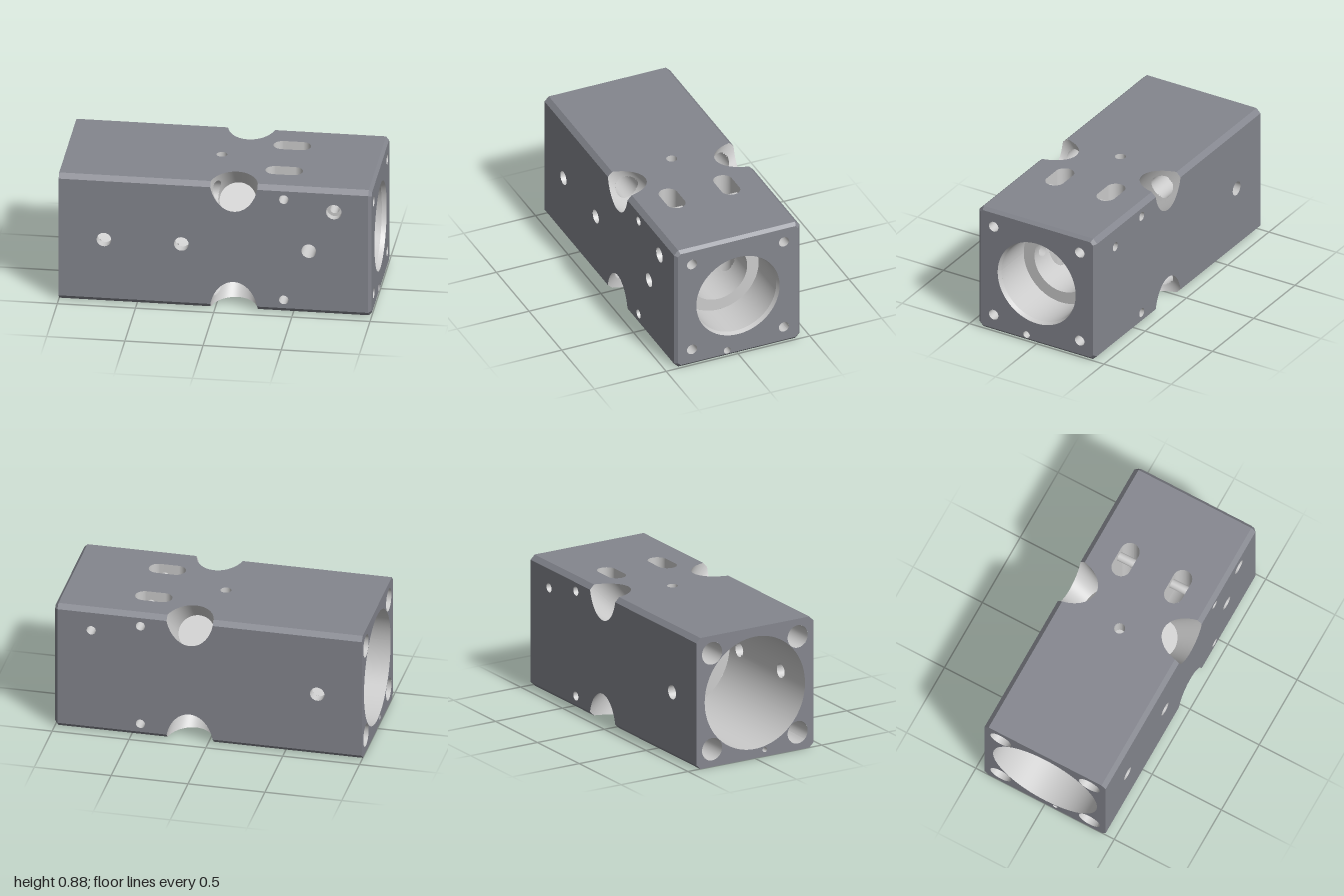
import * as THREE from 'three';

const H = 0.4375, Q = 0.4075, END = 0.98;      // half size, half flat width, start of end bevel
const D = (H + Q) / Math.SQRT2;                // axis to bevelled long edge
const NX = 0.12, FLOOR = 0.34;                 // notch position and floor distance
const BOLT = 0.4525, BOLT_R = 0.075;           // corner bolt bores
const { PI, sin, cos, sqrt, abs, min, max, hypot } = Math;

const shell = new THREE.MeshStandardMaterial({ color: 0x84868e });
const inner = new THREE.MeshStandardMaterial({ color: 0xcccccc, side: THREE.DoubleSide });

// Bores along x: [start, end, radius]
const bores = [[-1, -0.1, 0.375], [-0.1, 0.7, 0.2], [0.7, 0.97, 0.28]];
const boreRadius = x => (bores.find(b => x < b[1]) || bores[2])[2];

// Holes of each long side (front, top, back, bottom): x, s across, r, half straight length
const cross = [{ x: -0.71, s: 0, r: 0.047 }, { x: 0.44, s: 0.35, r: 0.03 }, { x: 0.44, s: -0.35, r: 0.03 }];
const slots = [
  { x: 0.41, s: 0.19, r: 0.062, l: 0.058 }, { x: 0.41, s: -0.19, r: 0.062, l: 0.058 },
  { x: -0.015, s: 0, r: 0.035, blind: 0.12 },
];
const sides = [
  [...cross, { x: -0.215, s: 0, r: 0.047 }, { x: 0.6, s: 0, r: 0.047 }, { x: 0.76, s: 0.2825, r: 0.03, head: 0.05 }],
  slots,
  [...cross, { x: 0.76, s: -0.2825, r: 0.03 }],
  slots,
];

function add(parent, name, geometry, material) {
  const mesh = new THREE.Mesh(geometry, material);
  mesh.name = name;
  parent.add(mesh);
  return mesh;
}

// Grid surface; fn returns [x, y, z, cut], triangles with all corners cut are left out
function skin(nu, nv, fn, flat = false) {
  const pos = [], cut = [], index = [];
  for (let j = 0; j <= nv; j++) for (let i = 0; i <= nu; i++) {
    const p = fn(i / nu, j / nv);
    pos.push(p[0], p[1], p[2]);
    cut.push(p[3]);
  }
  const tri = (...t) => { if (!t.every(i => cut[i])) index.push(...t); };
  for (let j = 0; j < nv; j++) for (let i = 0; i < nu; i++) {
    const a = j * (nu + 1) + i, b = a + nu + 1;
    tri(a, a + 1, b + 1);
    tri(a, b + 1, b);
  }
  let g = new THREE.BufferGeometry();
  g.setAttribute('position', new THREE.Float32BufferAttribute(pos, 3));
  g.setIndex(index);
  if (flat) g = g.toNonIndexed();
  g.computeVertexNormals();
  return g;
}

// Moves a 2D offset onto a radius when close to it, and tells whether it is inside
function snap(a, b, r, step) {
  const d = hypot(a, b), k = abs(d - r) < step && d > 0 ? r / d : 1;
  return [a * k, b * k, d * k <= r + 1e-5];
}

// Outline of a round or slotted hole
const outline = (h, r, u) => {
  const c = cos(u * 2 * PI);
  return [h.x + c * r + Math.sign(c) * (h.l || 0), h.s + sin(u * 2 * PI) * r];
};
const holePath = (h, r) => new THREE.Path(
  Array.from({ length: 40 }, (_, i) => new THREE.Vector2(...outline(h, r, (i + 0.5) / 40))));

// Tapered edge notch: radius by distance, and where its wall leaves the block
const taper = d => 0.0692 + 0.138 * d;
const rim = a => min(D, (H * Math.SQRT2 - 0.0692 * abs(sin(a))) / (1 + 0.138 * abs(sin(a))));
const A0 = Math.asin((H - Q) / Math.SQRT2 / taper(D));
const rimPoint = a => {
  const d = rim(a), r = taper(d);
  return [NX + r * cos(a), (d - r * sin(a)) / Math.SQRT2];
};

function sidePanel(holes) {
  const pts = [[-1, -Q]];
  for (let i = 0; i <= 32; i++) {
    const [x, s] = rimPoint(PI - A0 - (i / 32) * (PI - 2 * A0));
    pts.push([x, -s]);
  }
  pts.push([END, -Q], [END, Q]);
  for (let i = 0; i <= 32; i++) pts.push(rimPoint(A0 + (i / 32) * (PI - 2 * A0)));
  pts.push([-1, Q]);
  const shape = new THREE.Shape(pts.map(p => new THREE.Vector2(...p)));
  for (const h of holes) shape.holes.push(holePath(h, h.head || h.r));
  return new THREE.ShapeGeometry(shape).translate(0, 0, H);
}

// Wall of a side hole, from the panel down to the bore
function holeWall(h) {
  return skin(40, 1, (u, v) => {
    const [x, s] = outline(h, h.r, u + 0.5 / 40);
    const R = boreRadius(h.x);
    const end = h.blind ? H - h.blind : sqrt(max(0, R * R - s * s));
    return [x, s, v ? end : H - (h.head ? 0.05 : 0)];
  });
}

// Bore wall opened where side holes enter
function boreWall([x0, x1, R]) {
  const nx = Math.ceil((x1 - x0) / 0.014), na = R > 0.3 ? 160 : 112;
  return skin(na, nx, (u, v) => {
    let x = x0 + (x1 - x0) * v, th = u * 2 * PI, cut = false;
    sides.forEach((holes, k) => {
      for (const h of holes) {
        const phi = th - k * PI / 2;
        if (h.blind || cos(phi) < 0) continue;
        const l = h.l || 0, mid = max(-l, min(l, x - h.x));
        const [dx, ds, inside] = snap(x - h.x - mid, R * sin(phi) - h.s, h.r, 0.007);
        if (abs(dx) + abs(ds) > 0.2) continue;
        const nextX = h.x + mid + dx;
        if (nextX >= x0 && nextX <= x1 && v > 0 && v < 1) x = nextX;
        th = k * PI / 2 + Math.asin(max(-1, min(1, (ds + h.s) / R)));
        cut = cut || inside;
      }
    });
    return [x, R * sin(th), R * cos(th), cut];
  });
}

// Tube or ring around an axis parallel to x
const tubeX = (x0, x1, r0, r1 = r0, y = 0, z = 0, n = 28) => skin(n, 1, (u, v) => {
  const r = v ? r1 : r0;
  return [v ? x1 : x0, y + r * sin(u * 2 * PI), z + r * cos(u * 2 * PI)];
});

// Octagonal block section, as [z, y]
function octagon(h, d) {
  const q = d * Math.SQRT2 - h;
  return [[h, -q], [h, q], [q, h], [-q, h], [-h, q], [-h, -q], [-q, -h], [q, -h]];
}

const PIN = { y: -0.3925, z: 0.075 };
function endFace(sign, h, d, bore, bolt, pin) {
  const shape = new THREE.Shape(octagon(h, d).map(([z, y]) => new THREE.Vector2(z, y)));
  const hole = (x, y, r) => shape.holes.push(new THREE.Path().absarc(x, y, r, 0, 2 * PI, true));
  hole(0, 0, bore);
  for (const a of [-0.32, 0.32]) for (const b of [-0.32, 0.32]) hole(a, b, bolt);
  hole(-sign * PIN.z, PIN.y, pin);
  return new THREE.ShapeGeometry(shape, 40).rotateY(sign * PI / 2).translate(sign, 0, 0);
}

export function createModel() {
  const model = new THREE.Group();
  model.name = 'boredBlock';
  const block = new THREE.Group();
  block.name = 'block';
  block.position.y = H;
  model.add(block);

  // Four long sides with their holes
  sides.forEach((holes, k) => {
    const side = new THREE.Group();
    side.name = ['frontSide', 'topSide', 'backSide', 'bottomSide'][k];
    side.rotation.x = -k * PI / 2;
    block.add(side);
    add(side, 'panel', sidePanel(holes), shell);
    for (const h of holes) {
      add(side, h.l ? 'slotWall' : 'holeWall', holeWall(h), inner);
      if (h.blind) add(side, 'holeFloor', new THREE.CircleGeometry(h.r, 32), inner).position.set(h.x, h.s, H - h.blind);
      if (h.head) {
        add(side, 'counterbore', skin(40, 2, (u, v) => {
          const [x, s] = outline(h, v === 1 ? h.r : h.head, u);
          return [x, s, v === 0 ? H : H - 0.05];
        }, true), inner);
      }
    }
  });

  // Four long edges: bevel strips, notch and corner bolt bores
  for (let k = 0; k < 4; k++) {
    const edge = new THREE.Group();
    edge.name = 'longEdge';
    edge.rotation.x = -PI / 4 - k * PI / 2;
    block.add(edge);
    const w = taper(D) * cos(A0);
    for (const [a, b] of [[-1, NX - w], [NX + w, END]]) {
      add(edge, 'edgeBevel', new THREE.PlaneGeometry(b - a, (H - Q) * Math.SQRT2), shell).position.set((a + b) / 2, 0, D);
    }
    add(edge, 'notchWall', skin(96, 20, (u, v) => {
      const a = u * 2 * PI;
      let d = FLOOR + (rim(a) - FLOOR) * v, x = taper(d) * cos(a), t = taper(d) * sin(a), cut = false;
      if (x < 0 && v > 0 && v < 1) {
        const [nt, nd, inside] = snap(t, d - BOLT, BOLT_R, 0.006);
        t = nt;
        d = BOLT + nd;
        x = -sqrt(max(0, taper(d) ** 2 - t * t));
        cut = inside;
      }
      return [NX + x, t, d, cut];
    }), inner);
    add(edge, 'notchFloor', new THREE.CircleGeometry(taper(FLOOR), 48), inner).position.set(NX, 0, FLOOR);
    add(edge, 'boltBore', skin(40, 1, (u, v) => {
      const t = BOLT_R * sin(u * 2 * PI), d = BOLT + BOLT_R * cos(u * 2 * PI);
      return [v ? NX - sqrt(taper(d) ** 2 - t * t) : -1, t, d];
    }), inner);
    add(edge, 'screwHole', tubeX(1, 0.75, 0.035, 0.035, 0, BOLT), inner);
    add(edge, 'screwHoleFloor', tubeX(0.75, 0.75, 0.035, 0, 0, BOLT), inner);
  }

  // End faces and the bevel around the left end
  add(block, 'leftEnd', endFace(1, H - 0.02, D - 0.02, 0.29, 0.035, 0.024), shell);
  add(block, 'rightEnd', endFace(-1, H, D, 0.375, BOLT_R, 0.017), shell);
  const big = octagon(H, D), small = octagon(H - 0.02, D - 0.02);
  const bevel = add(block, 'endBevel', skin(8, 1, (u, v) => {
    const [z, y] = (v ? small : big)[Math.round(u * 8) % 8];
    return [v ? 1 : END, y, z];
  }, true), shell.clone());
  bevel.material.side = THREE.DoubleSide;

  // Stepped main bore
  for (const b of bores) add(block, 'boreWall', boreWall(b), inner);
  add(block, 'boreLeadIn', tubeX(0.97, 1, 0.28, 0.29, 0, 0, 96), inner);
  add(block, 'wideShoulder', tubeX(-0.1, -0.1, 0.375, 0.2, 0, 0, 96), inner);
  add(block, 'narrowShoulder', tubeX(0.7, 0.7, 0.28, 0.2, 0, 0, 96), inner);

  // Long thin pin hole with its counterbore
  add(block, 'pinHole', tubeX(-1, 0.95, 0.017, 0.017, PIN.y, PIN.z), inner);
  add(block, 'pinCounterbore', tubeX(0.95, 1, 0.024, 0.024, PIN.y, PIN.z), inner);
  add(block, 'pinSeat', tubeX(0.95, 0.95, 0.017, 0.024, PIN.y, PIN.z), inner);
  return model;
}
